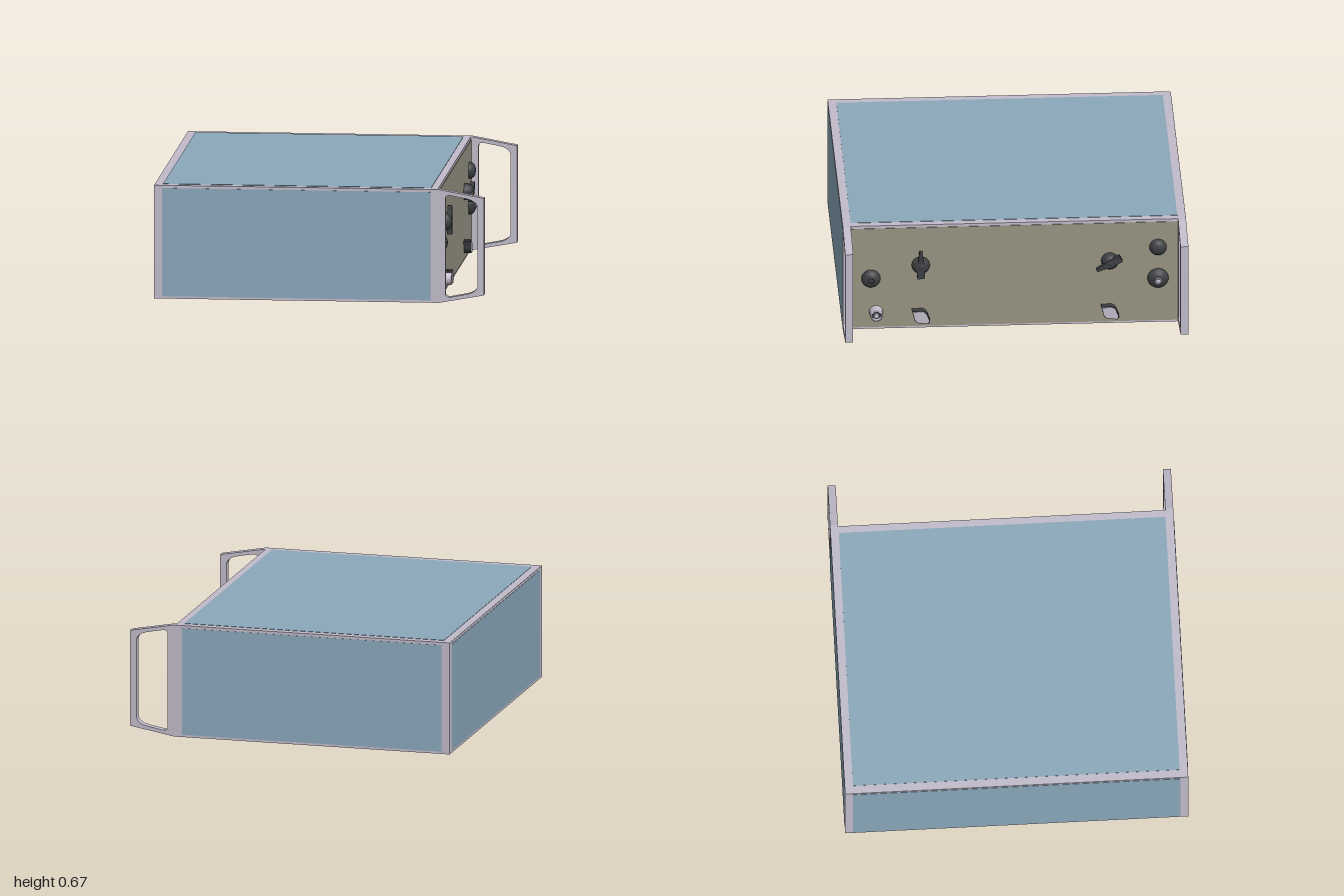
import * as THREE from 'three';

const material = (name, color) => {
  const m = new THREE.MeshStandardMaterial({ color });
  m.name = name;
  return m;
};

export function createModel() {
  const frame = material('pale frame metal', 0xc2bccb);
  const blue = material('blue cover', 0x8aa8bb);
  const olive = material('olive panel', 0x979483);
  const dark = material('dark knob', 0x3d3f42);
  const model = new THREE.Group();

  const add = (parent, name, geometry, mat, x = 0, y = 0, z = 0) => {
    const mesh = new THREE.Mesh(geometry, mat);
    mesh.name = name;
    mesh.position.set(x, y, z);
    parent.add(mesh);
    return mesh;
  };
  // Box given by its min and max corners
  const box = (name, mat, [x0, y0, z0], [x1, y1, z1]) =>
    add(model, name, new THREE.BoxGeometry(x1 - x0, y1 - y0, z1 - z0), mat,
      (x0 + x1) / 2, (y0 + y1) / 2, (z0 + z1) / 2);

  // Chassis and inset covers
  box('chassis', frame, [-0.963, 0.002, -0.953], [0.692, 0.668, 0.953]);
  box('controlPanel', olive, [0.69, 0.014, -0.952], [0.695, 0.651, 0.952]);
  box('topCover', blue, [-0.915, 0.666, -0.95], [0.65, 0.67, 0.95]);
  box('bottomCover', blue, [-0.915, 0, -0.95], [0.65, 0.004, 0.95]);
  box('rearCover', blue, [-0.965, 0.016, -0.952], [-0.961, 0.652, 0.952]);
  for (const s of [-1, 1]) {
    const z = [s * 0.996, s * 1].sort((a, b) => a - b);
    box('sideCover', blue, [-0.915, 0.016, z[0]], [0.65, 0.652, z[1]]);
  }

  // Side plates that run on into handles, each with a rounded opening
  const plate = new THREE.Shape();
  [[-0.963, 0.002], [0.7, 0.002], [0.963, 0.05], [0.963, 0.62], [0.7, 0.668], [-0.963, 0.668]]
    .forEach(([x, y], i) => (i ? plate.lineTo(x, y) : plate.moveTo(x, y)));
  plate.closePath();
  const hole = new THREE.Path();
  hole.moveTo(0.737, 0.06);
  hole.lineTo(0.737, 0.61);
  hole.quadraticCurveTo(0.737, 0.636, 0.765, 0.634);
  hole.lineTo(0.86, 0.616);
  hole.quadraticCurveTo(0.925, 0.602, 0.925, 0.56);
  hole.lineTo(0.925, 0.11);
  hole.quadraticCurveTo(0.925, 0.068, 0.86, 0.054);
  hole.lineTo(0.765, 0.036);
  hole.quadraticCurveTo(0.737, 0.034, 0.737, 0.06);
  plate.holes.push(hole);
  const plateGeometry = new THREE.ExtrudeGeometry(plate, { depth: 0.046, bevelEnabled: false, curveSegments: 8 });
  add(model, 'leftSidePlateHandle', plateGeometry, frame, 0, 0, 0.952);
  add(model, 'rightSidePlateHandle', plateGeometry, frame, 0, 0, -0.998);

  // Controls are built facing local +z, then turned to face +x on the panel
  const control = (name, z, y) => {
    const g = new THREE.Group();
    g.name = name;
    g.position.set(0.695, y, z);
    g.rotation.y = Math.PI / 2;
    model.add(g);
    const dial = new THREE.Group();
    g.add(dial);
    return dial;
  };
  const lathe = (points) => new THREE.LatheGeometry(
    points.map(([r, h]) => new THREE.Vector2(r, h)), 28).rotateX(Math.PI / 2);
  const dome = (r, h) => lathe([[r, 0], [r, h * 0.15], [r * 0.92, h * 0.45],
    [r * 0.72, h * 0.75], [r * 0.42, h * 0.95], [0, h]]);
  const extrude = (shape, depth) => new THREE.ExtrudeGeometry(shape, { depth, bevelEnabled: false, curveSegments: 8 });

  // Plain domed knobs
  const lowerLeft = control('roundKnob', 0.835, 0.33);
  add(lowerLeft, 'knobDome', dome(0.055, 0.038), dark);
  add(lowerLeft, 'knobRing', new THREE.TorusGeometry(0.016, 0.003, 6, 20), dark, 0, 0, 0.036);
  add(control('roundKnob', -0.835, 0.49), 'knobDome', dome(0.05, 0.038), dark);

  // Toggle switch
  const toggle = control('toggleSwitch', -0.835, 0.29);
  add(toggle, 'switchBase', dome(0.061, 0.04), dark);
  add(toggle, 'switchCollar', new THREE.CylinderGeometry(0.018, 0.02, 0.014, 20).rotateX(Math.PI / 2), frame, 0, 0, 0.038);
  const lever = add(toggle, 'switchLever',
    new THREE.CylinderGeometry(0.012, 0.008, 0.042, 16).rotateX(Math.PI / 2), frame, 0, 0.009, 0.056);
  lever.rotation.x = -0.25;

  // Socket with an open barrel
  const socket = control('socket', 0.805, 0.113);
  add(socket, 'socketBarrel', lathe([[0.04, 0], [0.04, 0.01], [0.036, 0.012], [0.036, 0.058],
    [0.032, 0.062], [0.024, 0.062], [0.024, 0.02], [0, 0.02]]), frame);
  add(socket, 'socketInsert', new THREE.CylinderGeometry(0.023, 0.023, 0.006, 20).rotateX(Math.PI / 2), dark, 0, 0, 0.045);
  add(socket, 'socketPin', new THREE.CylinderGeometry(0.015, 0.015, 0.02, 16).rotateX(Math.PI / 2), frame, 0, 0, 0.05);

  // Dark pointer knobs: dome with a tapered grip bar
  const grip = new THREE.Shape([[-0.021, -0.075], [0.021, -0.075], [0.024, 0], [0.012, 0.06],
    [0.009, 0.093], [-0.009, 0.093], [-0.012, 0.06], [-0.024, 0]].map((p) => new THREE.Vector2(...p)));
  for (const [z, angle, h] of [[0.545, 0, 0.04], [-0.555, 2.06, 0.06]]) {
    const knob = control('pointerKnob', z, 0.41);
    add(knob, 'knobDome', dome(0.053, h), dark);
    add(knob, 'knobGrip', extrude(grip, 0.028), dark, 0, 0, h - 0.03);
    knob.rotation.z = angle;
    knob.scale.setScalar(angle ? 0.95 : 1);
  }

  // Small selector knobs: dark body with a pale pointed face
  const selector = (k) => {
    const s = new THREE.Shape();
    s.moveTo(0, 0.066 * k);
    s.quadraticCurveTo(0.012 * k, 0.045 * k, 0.03 * k, 0.03 * k);
    s.quadraticCurveTo(0.052 * k, 0, 0.028 * k, -0.03 * k);
    s.lineTo(0.009 * k, -0.06 * k);
    s.lineTo(-0.009 * k, -0.06 * k);
    s.lineTo(-0.028 * k, -0.03 * k);
    s.quadraticCurveTo(-0.052 * k, 0, -0.03 * k, 0.03 * k);
    s.quadraticCurveTo(-0.012 * k, 0.045 * k, 0, 0.066 * k);
    return s;
  };
  for (const z of [0.545, -0.555]) {
    const knob = control('selectorKnob', z, 0.088);
    add(knob, 'selectorBody', extrude(selector(1), 0.04), dark);
    add(knob, 'selectorFace', extrude(selector(0.9), 0.004), frame, 0, 0, 0.038);
    knob.rotation.z = 0.93;
  }
  return model;
}
